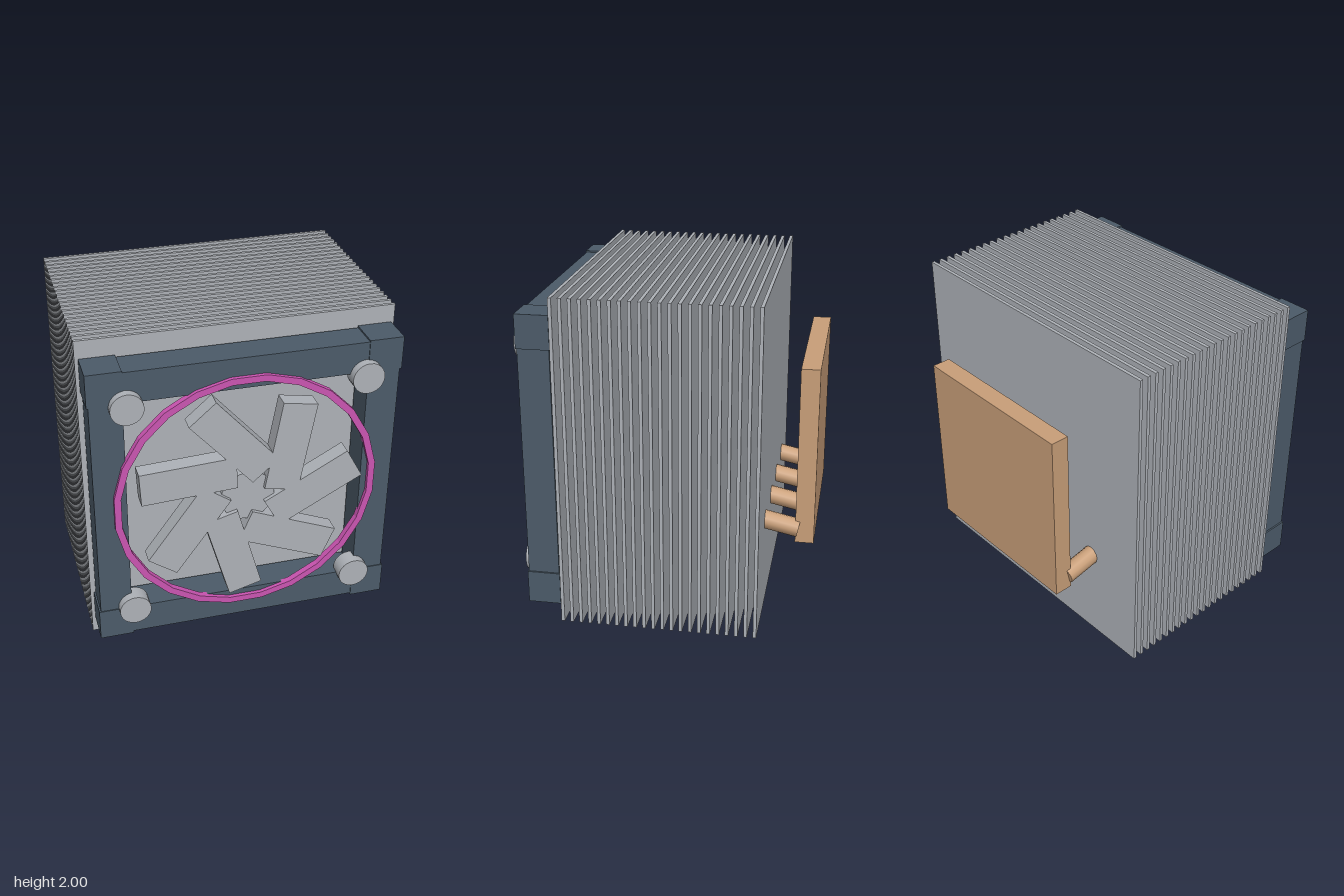
import * as THREE from 'three';

const mat = (name, color) => {
  const m = new THREE.MeshStandardMaterial({ color });
  m.name = name;
  return m;
};

export function createModel() {
  const root = new THREE.Group();
  root.name = 'towerCooler';
  const metal = mat('aluminiumGrey', 0xaeb2b8);
  const slate = mat('slateFrame', 0x4c5b69);
  const copper = mat('copper', 0xc99f79);
  const magenta = mat('magentaRing', 0xcb55b2);

  const group = (name) => {
    const g = new THREE.Group();
    g.name = name;
    root.add(g);
    return g;
  };
  const add = (parent, name, geo, material, x, y, z) => {
    const m = new THREE.Mesh(geo, material);
    m.name = name;
    m.position.set(x, y, z);
    parent.add(m);
    return m;
  };

  // Stack of thin cooling fins
  const fins = group('fins');
  const finGeo = new THREE.BoxGeometry(1.83, 2, 0.02);
  for (let i = 0; i < 22; i++) add(fins, 'fin', finGeo, metal, 0, 1, 0.598 - i * 0.055);

  // Fan frame: four bars with slightly proud corner blocks
  const frame = group('fanFrame');
  const wide = new THREE.BoxGeometry(1.77, 0.187, 0.185);
  const tall = new THREE.BoxGeometry(0.187, 1.77, 0.185);
  const corner = new THREE.BoxGeometry(0.2, 0.2, 0.195);
  const postGeo = new THREE.CylinderGeometry(0.094, 0.094, 0.1, 24).rotateX(Math.PI / 2);
  for (const s of [-1, 1]) {
    add(frame, 'horizontalBar', wide, slate, 0, 1 + s * 0.7915, 0.7125);
    add(frame, 'sideBar', tall, slate, s * 0.7915, 1, 0.7125);
    for (const t of [-1, 1]) {
      add(frame, 'cornerBlock', corner, slate, s * 0.795, 1 + t * 0.795, 0.7125);
      add(frame, 'mountPost', postGeo, metal, s * 0.684, 1 + t * 0.684, 0.807);
    }
  }

  // Light ring made of short straight segments
  const ring = group('lightRing');
  const segments = 24, ringR = 0.755;
  const segGeo = new THREE.BoxGeometry(0.04, 2 * 0.775 * Math.tan(Math.PI / segments), 0.04);
  for (let i = 0; i < segments; i++) {
    const a = (i / segments) * Math.PI * 2;
    const seg = add(ring, 'ringSegment', segGeo, magenta,
      Math.cos(a) * ringR, 1 + Math.sin(a) * ringR, 0.808);
    seg.rotation.z = a;
  }

  // Fan: seven swept blades around a recessed hub
  const fan = group('fan');
  const bladeGeo = new THREE.BoxGeometry(0.56, 0.205, 0.1);
  for (let i = 0; i < 7; i++) {
    const a = (i / 7) * Math.PI * 2;
    const blade = add(fan, 'blade', bladeGeo, metal,
      Math.cos(a) * 0.39, 1 + Math.sin(a) * 0.39, 0.805);
    blade.rotation.z = a + 0.5;
  }
  add(fan, 'hub', new THREE.CylinderGeometry(0.16, 0.16, 0.08, 20).rotateX(Math.PI / 2),
    metal, 0, 1, 0.79);

  // Heat pipes: three straight runs each, from the fins down to the base
  const pipes = group('heatPipes');
  const path = [[1.735, 0.505], [1.0, 0.505], [0.705, -0.02], [0.545, -0.765]];
  const up = new THREE.Vector3(0, 1, 0);
  for (const x of [-0.525, -0.17, 0.17, 0.525]) {
    for (let i = 0; i < path.length - 1; i++) {
      const a = new THREE.Vector3(x, ...path[i]);
      const b = new THREE.Vector3(x, ...path[i + 1]);
      const dir = b.clone().sub(a);
      const geo = new THREE.CylinderGeometry(0.056, 0.056, dir.length(), 12);
      const mid = a.clone().add(b).multiplyScalar(0.5);
      const pipe = add(pipes, 'pipeRun', geo, copper, mid.x, mid.y, mid.z);
      pipe.quaternion.setFromUnitVectors(up, dir.normalize());
    }
  }

  // Contact plate at the back
  add(root, 'basePlate', new THREE.BoxGeometry(1.095, 1.09, 0.112), copper, 0, 1.005, -0.804);

  return root;
}
